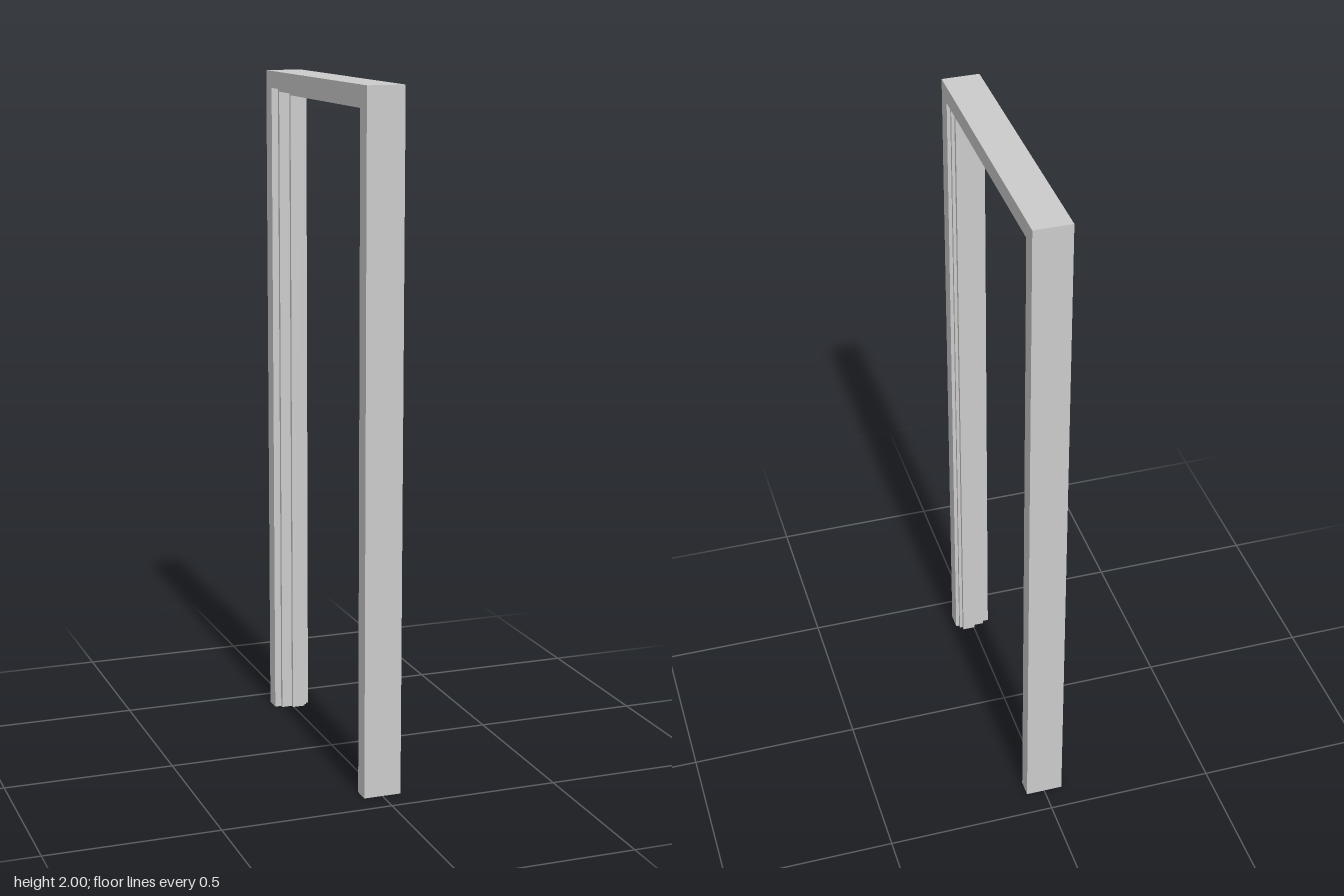
import * as THREE from 'three';

const HEIGHT = 2, HALF_WIDTH = 0.425;

// Jamb cross-section: x across the wall, inset measured inward from the outer edge
const PROFILE = [
  [-0.055, 0], [0.055, 0], [0.055, 0.05], [0.045, 0.05], [0.045, 0.06],
  [0.036, 0.06], [0.036, 0.072], [-0.003, 0.072], [-0.003, 0.061],
  [-0.035, 0.061], [-0.035, 0.05], [-0.055, 0.05],
].map(([x, inset]) => new THREE.Vector2(x, inset));

// Stations along the frame: foot, mitred corner, mitred corner, foot
const STATIONS = [
  p => [p.x, 0, HALF_WIDTH - p.y],
  p => [p.x, HEIGHT - p.y, HALF_WIDTH - p.y],
  p => [p.x, HEIGHT - p.y, p.y - HALF_WIDTH],
  p => [p.x, 0, p.y - HALF_WIDTH],
];

// One run of the frame between two stations, with optional end caps at the feet
function frameRun(name, from, to, material) {
  const positions = [];
  const triangle = (a, b, c) => positions.push(...a, ...b, ...c);
  const start = PROFILE.map(STATIONS[from]);
  const end = PROFILE.map(STATIONS[to]);
  PROFILE.forEach((_, i) => {
    const j = (i + 1) % PROFILE.length;
    triangle(start[i], start[j], end[j]);
    triangle(start[i], end[j], end[i]);
  });
  for (const [a, b, c] of THREE.ShapeUtils.triangulateShape(PROFILE, [])) {
    if (from === 0) triangle(start[c], start[b], start[a]);
    if (to === 3) triangle(end[a], end[b], end[c]);
  }
  const geometry = new THREE.BufferGeometry();
  geometry.setAttribute('position', new THREE.Float32BufferAttribute(positions, 3));
  geometry.computeVertexNormals();
  const mesh = new THREE.Mesh(geometry, material);
  mesh.name = name;
  return mesh;
}

export function createModel() {
  const group = new THREE.Group();
  group.name = 'doorFrame';
  const material = new THREE.MeshStandardMaterial({ color: 0xcccccc });
  group.add(
    frameRun('frontJamb', 0, 1, material),
    frameRun('header', 1, 2, material),
    frameRun('backJamb', 2, 3, material),
  );
  return group;
}
